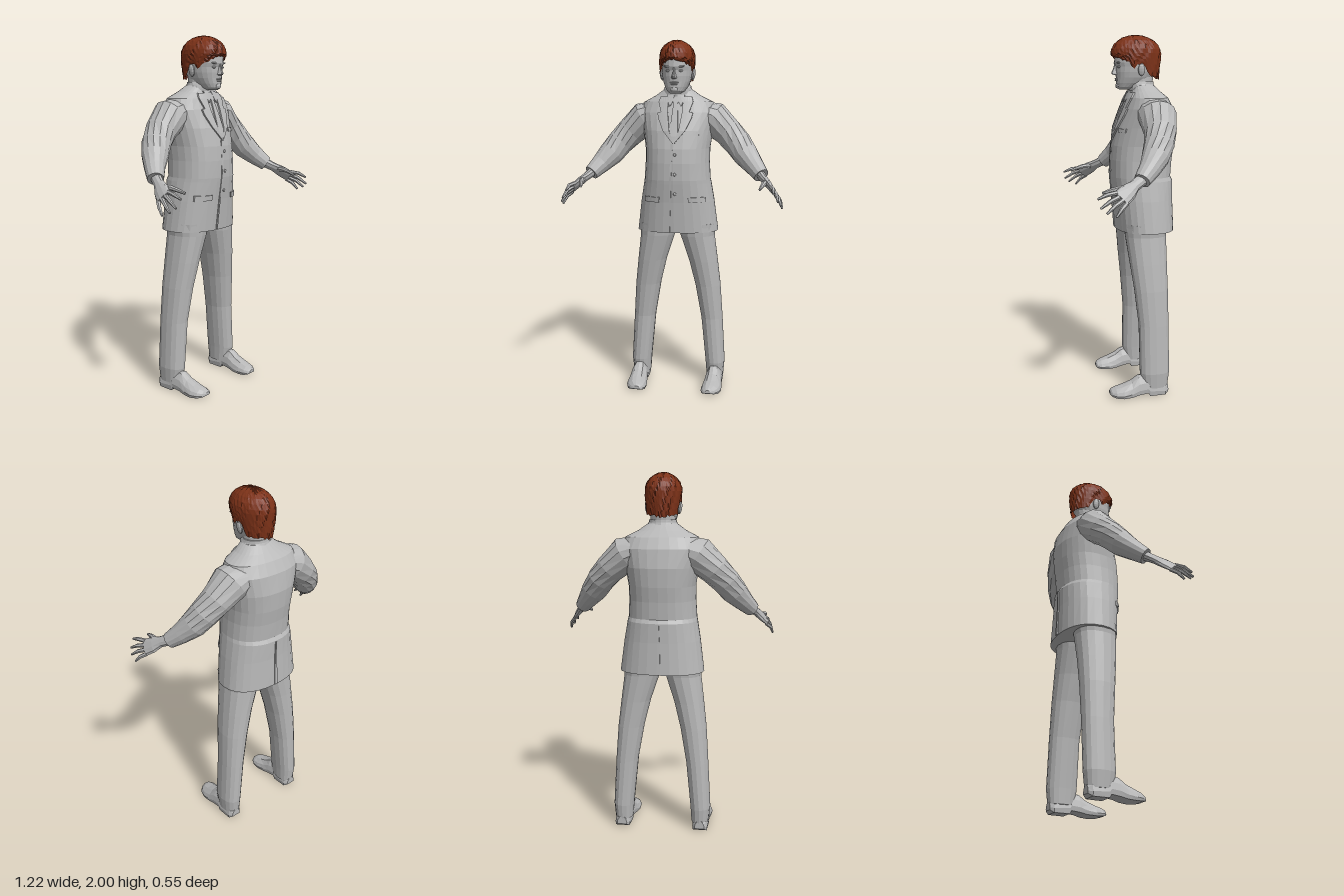
import * as THREE from 'three';

const cloth = new THREE.MeshStandardMaterial({ color: 0xb8b8b8, flatShading: true });
cloth.name = 'light grey';
const brown = new THREE.MeshStandardMaterial({ color: 0x7d3218, flatShading: true, side: THREE.DoubleSide });
brown.name = 'reddish brown';
const V = (x, y, z) => new THREE.Vector3(x, y, z);

// Joins rings of points into a closed skin whose faces point outwards
function skin(name, rings, mat = cloth, cap = true) {
  const n = rings[0].length, pos = [], idx = [];
  rings.forEach(r => r.forEach(p => pos.push(p.x, p.y, p.z)));
  for (let i = 0; i + 1 < rings.length; i++) {
    for (let j = 0; j < n; j++) {
      const a = i * n + j, b = i * n + (j + 1) % n;
      idx.push(a, b, b + n, a, b + n, a + n);
    }
  }
  const last = (rings.length - 1) * n;
  for (let j = 1; cap && j < n - 1; j++) {
    idx.push(0, j + 1, j, last, last + j, last + j + 1);
  }
  const pts = rings.flat();
  let volume = 0;
  const mid = pts.reduce((s, p) => s.add(p), V(0, 0, 0)).divideScalar(pts.length);
  for (let i = 0; i < idx.length; i += 3) {
    const [a, b, c] = [0, 1, 2].map(k => pts[idx[i + k]].clone().sub(mid));
    volume += a.dot(b.cross(c));
  }
  if (volume < 0) idx.reverse();
  const g = new THREE.BufferGeometry();
  g.setAttribute('position', new THREE.Float32BufferAttribute(pos, 3));
  g.setIndex(idx);
  g.computeVertexNormals();
  const m = new THREE.Mesh(g, mat);
  m.name = name;
  return m;
}

// Horizontal cross-sections: [y, centre x, half width, front z, back z]
const pw = (v, e) => Math.sign(v) * Math.abs(v) ** e;
function loft(name, sections, n = 20, power = 2.3) {
  return skin(name, sections.map(([y, cx, rx, zf, zb]) => Array.from({ length: n }, (_, j) => {
    const a = j / n * Math.PI * 2;
    return V(cx + rx * pw(Math.sin(a), 2 / power), y, (zf + zb) / 2 + (zf - zb) / 2 * pw(Math.cos(a), 2 / power));
  })));
}

// Limb along a path of [x, y, z, radius along ref, radius across]
function limb(name, path, s, ref = V(0, 1, 0), n = 12) {
  const c = path.map(p => V(p[0], p[1], p[2]));
  return skin(name, path.map((p, i) => {
    const t = c[Math.min(i + 1, c.length - 1)].clone().sub(c[Math.max(i - 1, 0)]).normalize();
    const u = ref.clone().addScaledVector(t, -ref.dot(t)).normalize();
    const w = t.clone().cross(u);
    return Array.from({ length: n }, (_, j) => {
      const a = j / n * Math.PI * 2;
      const q = c[i].clone().addScaledVector(u, p[3] * Math.cos(a)).addScaledVector(w, (p[4] ?? p[3]) * Math.sin(a));
      q.x *= s;
      return q;
    });
  }));
}

const jacket = [
  [0.925, 0, 0.235, 0.06, -0.265], [1.1, 0, 0.212, 0.075, -0.26], [1.205, 0, 0.194, 0.088, -0.261],
  [1.225, 0, 0.19, 0.09, -0.25], [1.32, 0, 0.184, 0.09, -0.258], [1.4, 0, 0.185, 0.083, -0.27],
  [1.5, 0, 0.2, 0.06, -0.276], [1.6, 0, 0.222, 0.02, -0.26], [1.66, 0, 0.2, -0.005, -0.228],
  [1.695, 0, 0.13, -0.02, -0.19], [1.73, 0, 0.08, -0.03, -0.155]];

// Depth of the jacket surface on its front (+1) or back (-1)
function jacketZ(x, y, face) {
  let i = 0;
  while (i < jacket.length - 2 && jacket[i + 1][0] < y) i++;
  const a = jacket[i], b = jacket[i + 1], t = (y - a[0]) / (b[0] - a[0]);
  const [, , rx, zf, zb] = a.map((v, k) => v + (b[k] - v) * t);
  const f = Math.max(0, 1 - Math.abs(x / rx) ** 2.3) ** (1 / 2.3);
  return (zf + zb) / 2 + face * f * (zf - zb) / 2;
}

// Thin panel hugging the jacket: rows of [y, x start, x end]
function panel(name, rows, thick = 0.006, face = 1) {
  const k = 4;
  return skin(name, rows.map(([y, x0, x1]) => {
    const at = (j, d) => {
      const x = x0 + (x1 - x0) * j / k;
      return V(x, y, jacketZ(x, y, face) + face * d);
    };
    const cols = [0, 1, 2, 3, 4];
    return [...cols.map(j => at(j, thick)), ...cols.map(j => at(k - j, -0.002))];
  }));
}

function ball(name, x, y, z, rx, ry, rz, rot = 0) {
  const m = new THREE.Mesh(new THREE.SphereGeometry(1, 10, 7), cloth);
  m.position.set(x, y, z);
  m.scale.set(rx, ry, rz);
  m.rotation.z = rot;
  m.name = name;
  return m;
}

// Swept cap of hair with ridged strands and a rim that drops behind the ears
function hair() {
  let seed = 7;
  const rnd = () => (seed = (seed * 16807) % 2147483647) / 2147483647 - 0.5;
  const rim = [[0, 1.89], [0.2, 1.872], [0.36, 1.85], [0.42, 1.81], [0.47, 1.842], [0.56, 1.835], [0.64, 1.78], [1, 1.765]];
  const rimY = f => {
    const i = Math.max(1, rim.findIndex(r => r[0] >= f)), [a, b] = [rim[i - 1], rim[i]];
    return a[1] + (b[1] - a[1]) * (f - a[0]) / (b[0] - a[0]);
  };
  const n = 56, rings = [];
  const strand = Array.from({ length: n }, rnd), drop = strand.map(() => rnd() * 0.014);
  for (let i = 0; i <= 10; i++) {
    rings.push(Array.from({ length: n }, (_, j) => {
      const a = (j / n) * Math.PI * 2, f = Math.abs(a > Math.PI ? a - 2 * Math.PI : a) / Math.PI;
      const d = Math.min(1, 0.02 + i / 6), down = Math.max(0, (i - 6) / 4);
      const r = Math.sin(d * Math.PI / 2) * (1 + strand[(j + i) % n] * 0.06 - 0.08 * down * down);
      const y = 1.9 + 0.1 * Math.cos(d * Math.PI / 2) + (rimY(f) + drop[j] - 1.9) * down + rnd() * 0.004;
      return V(0.1 * r * Math.sin(a), y, -0.058 + 0.141 * r * Math.cos(a));
    }));
  }
  return skin('hair', rings, brown, false);
}

export function createModel() {
  const g = new THREE.Group();
  g.name = 'standing man in suit';

  // Jacket body with tie, back vent and front edge
  g.add(loft('jacket', jacket, 28));
  g.add(panel('tie', [[1.43, -0.006, 0.006], [1.47, -0.024, 0.024], [1.56, -0.019, 0.019], [1.65, -0.011, 0.011], [1.665, -0.018, 0.018], [1.69, -0.016, 0.016]], 0.008));
  g.add(panel('frontEdge', [[0.93, -0.034, -0.024], [1.1, -0.026, -0.016], [1.25, -0.02, -0.01], [1.43, -0.014, -0.004]], 0.005));
  g.add(panel('backVent', [[0.93, -0.012, 0.006], [1.1, -0.008, 0.005], [1.2, -0.004, 0.003]], 0.006, -1));
  for (const y of [1.15, 1.26, 1.37]) g.add(ball('button', 0.008, y, jacketZ(0, y, 1), 0.009, 0.009, 0.007));
  g.add(panel('breastPocket', [[1.475, 0.075, 0.135], [1.495, 0.075, 0.137]], 0.005));

  // Neck and shirt collar
  g.add(loft('neck', [[1.66, 0, 0.075, -0.03, -0.16], [1.72, 0, 0.068, -0.012, -0.15], [1.8, 0, 0.068, 0, -0.16]], 16, 2));
  g.add(loft('collar', [[1.69, 0, 0.1, -0.015, -0.175], [1.735, 0, 0.078, -0.008, -0.158], [1.75, 0, 0.074, -0.025, -0.156]], 18, 2));

  // Head and face
  g.add(loft('head', [
    [1.705, 0, 0.028, 0.036, -0.02], [1.718, 0, 0.048, 0.05, -0.07], [1.74, 0, 0.062, 0.054, -0.12],
    [1.77, 0, 0.075, 0.054, -0.15], [1.8, 0, 0.082, 0.057, -0.17], [1.83, 0, 0.085, 0.057, -0.18],
    [1.85, 0, 0.086, 0.064, -0.185], [1.9, 0, 0.087, 0.06, -0.185], [1.95, 0, 0.07, 0.03, -0.15]], 22, 2.15));
  g.add(skin('nose', [[1.783, 0.012, 0.058], [1.788, 0.019, 0.077], [1.796, 0.016, 0.081], [1.82, 0.009, 0.07], [1.845, 0.008, 0.064]]
    .map(([y, w, z]) => [V(-w, y, 0.045), V(-w * 0.5, y, z - 0.003), V(0, y, z), V(w * 0.5, y, z - 0.003), V(w, y, 0.045)])));
  g.add(ball('upperLip', 0, 1.764, 0.053, 0.025, 0.005, 0.009));
  g.add(ball('lowerLip', 0, 1.755, 0.052, 0.02, 0.005, 0.009));
  g.add(ball('chin', 0, 1.727, 0.044, 0.024, 0.016, 0.014));

  for (const s of [1, -1]) {
    g.add(ball('eye', s * 0.034, 1.828, 0.045, 0.014, 0.007, 0.01));
    g.add(ball('brow', s * 0.036, 1.85, 0.05, 0.023, 0.006, 0.01, s * 0.1));
    g.add(ball('ear', s * 0.09, 1.812, -0.068, 0.012, 0.034, 0.02, -s * 0.15));

    // Lapels, shirt collar tips and pocket flaps
    g.add(panel('lapel', [[1.44, 0.002, 0.012], [1.5, 0.026, 0.062], [1.57, 0.036, 0.094], [1.6, 0.04, 0.1], [1.605, 0.04, 0.08], [1.66, 0.042, 0.098], [1.69, 0.044, 0.088]].map(([y, a, b]) => [y, s * a, s * b]), 0.009));
    g.add(panel('collarTip', [[1.635, 0.03, 0.034], [1.66, 0.016, 0.042], [1.7, 0.008, 0.05]].map(([y, a, b]) => [y, s * a, s * b]), 0.009));
    g.add(panel('pocketFlap', [[1.1, 0.085, 0.175], [1.13, 0.08, 0.172]].map(([y, a, b]) => [y, s * a, s * b]), 0.008));

    // Sleeve and cuff
    g.add(limb('sleeve', [
      [0.11, 1.6, -0.125, 0.07, 0.1], [0.2, 1.565, -0.128, 0.098, 0.105], [0.285, 1.488, -0.12, 0.083, 0.088],
      [0.345, 1.425, -0.097, 0.077, 0.08], [0.39, 1.365, -0.065, 0.072, 0.073],
      [0.44, 1.308, -0.02, 0.056, 0.056], [0.485, 1.258, 0.03, 0.043, 0.044]], s, V(0, 1, 0), 14));

    // Hand with four fingers and a thumb
    const across = V(0.34, -0.69, -0.65);
    const hand = new THREE.Group();
    hand.name = 'hand';
    hand.add(limb('palm', [[0.475, 1.268, 0.02, 0.032, 0.026], [0.507, 1.237, 0.075, 0.03, 0.021], [0.532, 1.212, 0.112, 0.044, 0.018], [0.56, 1.182, 0.156, 0.046, 0.012]], s, across, 10));
    [[0.56, 1.185, 0.272], [0.584, 1.142, 0.262], [0.599, 1.118, 0.234], [0.605, 1.1, 0.188]].forEach((tip, i) => {
      const base = V(0.556, 1.186, 0.15).addScaledVector(across, (i - 1.5) * 0.024);
      const end = V(...tip), knuckle = base.clone().lerp(end, 0.5).add(V(0.006, 0.007, 0));
      hand.add(limb('finger', [[...base.toArray(), 0.012], [...knuckle.toArray(), 0.011], [...end.toArray(), 0.006]], s, across, 6));
    });
    hand.add(limb('thumb', [[0.52, 1.228, 0.09, 0.017], [0.504, 1.226, 0.155, 0.014], [0.496, 1.216, 0.195, 0.011], [0.487, 1.203, 0.235, 0.007]], s, across, 7));
    g.add(hand);

    // Trouser leg
    g.add(loft('trouserLeg', [
      [0.045, 0.222, 0.05, -0.045, -0.19], [0.13, 0.223, 0.057, -0.03, -0.2], [0.4, 0.202, 0.063, -0.028, -0.2],
      [0.6, 0.178, 0.074, -0.008, -0.2], [0.75, 0.151, 0.084, 0.012, -0.2], [0.9, 0.117, 0.1, 0.03, -0.202],
      [0.97, 0.112, 0.112, 0.035, -0.21]].map(([y, x, ...r]) => [y, s * x, ...r]), 16));

    // Shoe from sections along z: [z, centre x, half width, sole height, top height]
    g.add(skin('shoe', [
      [-0.19, 0.225, 0.028, 0.015, 0.06], [-0.17, 0.225, 0.043, 0, 0.09], [-0.08, 0.225, 0.047, 0, 0.12],
      [-0.07, 0.225, 0.046, 0.018, 0.12], [-0.02, 0.223, 0.049, 0.012, 0.115], [0.02, 0.222, 0.054, 0.003, 0.085],
      [0.07, 0.22, 0.059, 0, 0.064], [0.11, 0.216, 0.052, 0.003, 0.052], [0.133, 0.211, 0.036, 0.008, 0.042],
      [0.142, 0.208, 0.018, 0.014, 0.032]].map(([z, x, w, lo, hi]) =>
      [[-0.92, 0], [-1, 0.25], [-0.85, 0.6], [-0.45, 0.93], [0, 1], [0.45, 0.93], [0.85, 0.6], [1, 0.25], [0.92, 0]]
        .map(([u, v]) => V(s * (x + u * w), lo + v * (hi - lo), z)))));
  }

  g.add(hair());
  return g;
}
